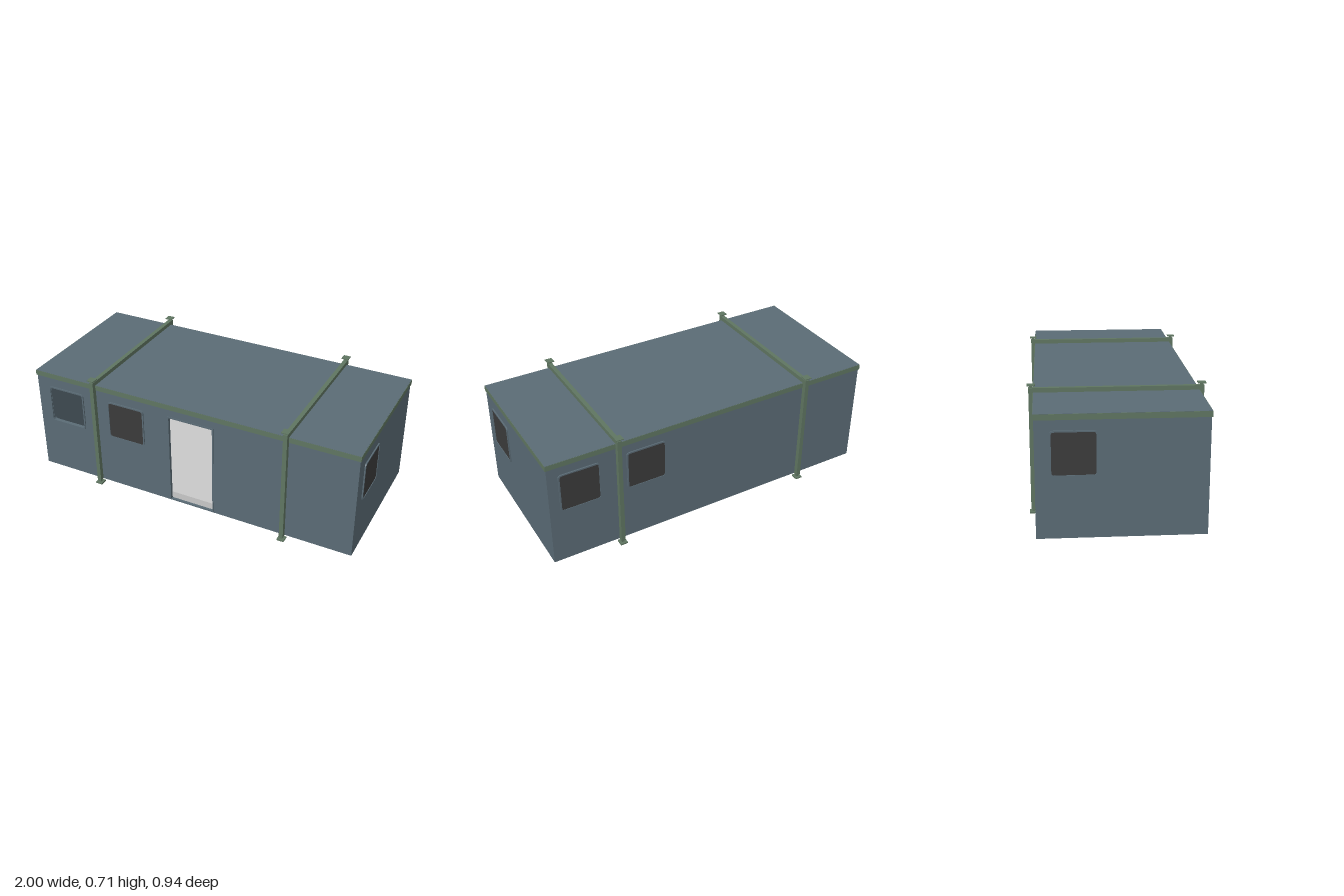
import * as THREE from 'three';

const mat = (name, color) => Object.assign(new THREE.MeshStandardMaterial({ color }), { name });

export function createModel() {
  const blue = mat('blue panel', 0x5a6b75);
  const green = mat('green steel', 0x5f7561);
  const dark = mat('dark glass', 0x3b3b3b);
  const white = mat('white floor', 0xc8c8c8);
  const model = new THREE.Group();
  model.name = 'portableCabin';

  const X = 0.993, Z = 0.432, T = 0.015, Y0 = 0.022, Y1 = 0.668;

  // box given by its min and max corners
  function box(name, m, x0, x1, y0, y1, z0, z1, parent = model) {
    const mesh = new THREE.Mesh(new THREE.BoxGeometry(x1 - x0, y1 - y0, z1 - z0), m);
    mesh.position.set((x0 + x1) / 2, (y0 + y1) / 2, (z0 + z1) / 2);
    mesh.name = name;
    parent.add(mesh);
    return mesh;
  }

  // rounded rectangle outline, for shapes and holes
  function outline(path, x0, x1, y0, y1, r) {
    path.moveTo(x0 + r, y0);
    path.lineTo(x1 - r, y0);
    path.quadraticCurveTo(x1, y0, x1, y0 + r);
    path.lineTo(x1, y1 - r);
    path.quadraticCurveTo(x1, y1, x1 - r, y1);
    path.lineTo(x0 + r, y1);
    path.quadraticCurveTo(x0, y1, x0, y1 - r);
    path.lineTo(x0, y0 + r);
    path.quadraticCurveTo(x0, y0, x0 + r, y0);
    return path;
  }

  function plate(name, m, shape, depth, parent) {
    const geo = new THREE.ExtrudeGeometry(shape, { depth, bevelEnabled: false, curveSegments: 4 });
    const mesh = new THREE.Mesh(geo, m);
    mesh.name = name;
    parent.add(mesh);
    return mesh;
  }

  // front wall with door and window openings
  const wall = new THREE.Shape([[-X, Y0], [X, Y0], [X, Y1], [-X, Y1]].map(p => new THREE.Vector2(...p)));
  wall.holes.push(new THREE.Path([[-0.115, 0.03], [-0.115, 0.585], [0.155, 0.585], [0.155, 0.03]]
    .map(p => new THREE.Vector2(...p))));
  wall.holes.push(outline(new THREE.Path(), -0.905, -0.69, 0.355, 0.575, 0.015));
  plate('frontWall', blue, wall, T, model).position.z = Z - T;

  // remaining walls and roof
  box('backWall', blue, -X, X, Y0, Y1, -Z, -Z + T);
  for (const s of [-1, 1]) {
    const w = box('endWall', blue, -T / 2, T / 2, Y0, Y1, -Z + T, Z - T);
    w.position.x = s * (X - T / 2);
  }
  box('roof', blue, -X - 0.003, X + 0.003, 0.655, 0.671, -Z - 0.003, Z + 0.003);

  // green band under the roof edge
  for (const s of [-1, 1]) {
    box('longRoofTrim', green, -0.998, 0.998, 0.64, 0.67, -0.003, 0.003).position.z = s * (Z + 0.002);
    box('endRoofTrim', green, -0.003, 0.003, 0.64, 0.67, -Z, Z).position.x = s * (X + 0.002);
  }

  // floor, inner lining and socket
  box('floor', white, -X + T, X - T, 0.026, 0.07, -Z + T, Z - T - 0.001);
  box('innerWallPanel', white, -0.9, -0.13, 0.07, 0.2, -Z + T, -Z + T + 0.006);
  box('wallSocket', white, 0.115, 0.155, 0.1, 0.125, -Z + T, -Z + T + 0.008);

  // door frame
  const frame = new THREE.Group();
  frame.name = 'doorFrame';
  model.add(frame);
  box('leftJamb', blue, 0.155, 0.163, 0.024, 0.593, Z - T, Z + 0.003, frame);
  box('rightJamb', blue, -0.123, -0.115, 0.024, 0.593, Z - T, Z + 0.003, frame);
  box('lintel', blue, -0.115, 0.155, 0.585, 0.593, Z - T, Z + 0.003, frame);

  // windows: u is the centre along the wall as seen from outside, y the centre height
  function windowUnit(side, u, y, glazed = true) {
    const g = new THREE.Group();
    g.name = side + 'Window';
    const w = 0.118, h = 0.118;
    const ring = outline(new THREE.Shape(), -w, w, -h, h, 0.02);
    ring.holes.push(outline(new THREE.Path(), -w + 0.008, w - 0.008, -h + 0.008, h - 0.008, 0.014));
    plate('windowFrame', blue, ring, 0.008, g).position.z = -0.001;
    if (glazed) {
      const pane = outline(new THREE.Shape(), -w + 0.007, w - 0.007, -h + 0.007, h - 0.007, 0.014);
      plate('windowPane', dark, pane, 0.004, g);
    }
    const turn = { front: 0, left: Math.PI / 2, back: Math.PI, right: -Math.PI / 2 }[side];
    const out = side === 'front' || side === 'back' ? Z : X;
    g.rotation.y = turn;
    g.position.set(u, y, out).applyAxisAngle(new THREE.Vector3(0, 1, 0), turn);
    model.add(g);
  }
  windowUnit('front', -0.797, 0.465, false);
  windowUnit('front', -0.395, 0.467);
  windowUnit('back', -0.815, 0.47);
  windowUnit('back', -0.425, 0.47);
  windowUnit('left', -0.233, 0.453);
  windowUnit('right', -0.24, 0.468);

  // two steel frames wrapped round the cabin
  for (const x of [-0.598, 0.592]) {
    const f = new THREE.Group();
    f.name = 'supportFrame';
    f.position.x = x;
    model.add(f);
    box('topBeam', green, -0.012, 0.012, 0.669, 0.695, -0.46, 0.46, f);
    for (const s of [-1, 1]) {
      const c = s * 0.447;
      box('post', green, -0.012, 0.012, 0.022, 0.69, c - 0.013, c + 0.013, f);
      box('topNeck', green, -0.008, 0.008, 0.69, 0.708, c - 0.007, c + 0.007, f);
      box('footNeck', green, -0.008, 0.008, 0.006, 0.024, c - 0.007, c + 0.007, f);
      box('topPlate', green, -0.021, 0.021, 0.707, 0.712, c - 0.0215, c + 0.0215, f);
      box('footPlate', green, -0.021, 0.021, 0, 0.008, c - 0.0215, c + 0.0215, f);
    }
  }
  return model;
}
